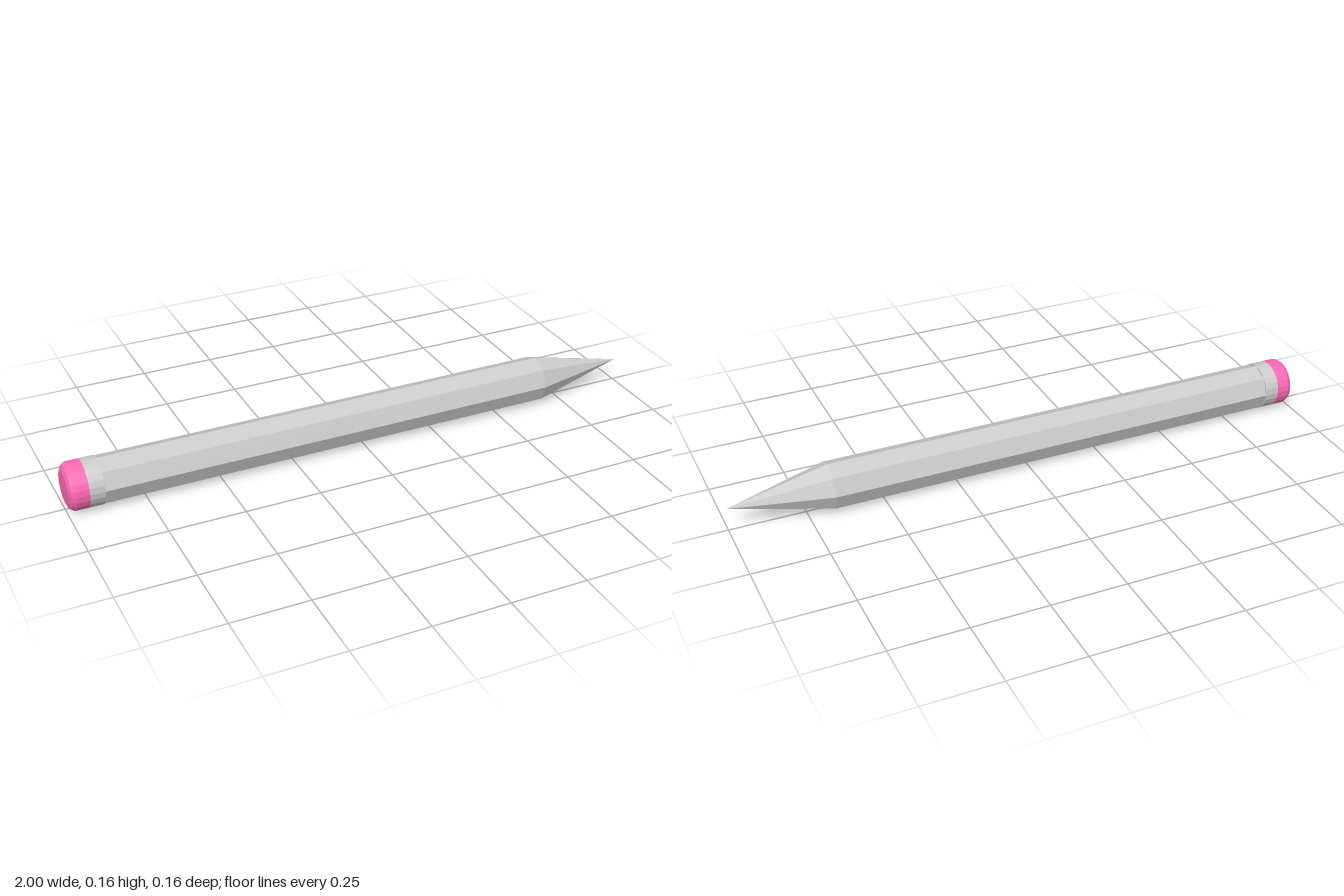
import * as THREE from 'three';

const R = 0.078;      // pencil radius
const SIDES = 8;      // faceted wooden shaft
const ROUND = 24;     // round end pieces

// Turns a profile of [x along the pencil, radius] into a flat-shaded part
function turned(name, profile, sides, color) {
  const points = profile.map(([x, r]) => new THREE.Vector2(r, x));
  const geometry = new THREE.LatheGeometry(points, sides);
  geometry.rotateZ(-Math.PI / 2);
  const material = new THREE.MeshStandardMaterial({ color, flatShading: true });
  const mesh = new THREE.Mesh(geometry, material);
  mesh.name = name;
  mesh.position.y = R;
  return mesh;
}

export function createModel() {
  const pencil = new THREE.Group();
  pencil.name = 'pencil';

  // Octagonal shaft, with an edge along the top
  pencil.add(turned('shaft', [[-0.93, 0], [-0.93, R], [0.67, R]], SIDES, 0xcccccc));

  // Sharpened point
  pencil.add(turned('point', [[0.67, R], [1, 0]], SIDES, 0xcccccc));

  // Round ferrule, closed against the shaft's flats
  pencil.add(turned('ferrule', [[-0.936, R], [-0.888, R], [-0.888, 0.07]], ROUND, 0xcccccc));

  // Eraser with a softened rim
  pencil.add(turned('eraser',
    [[-1, 0], [-0.998, 0.055], [-0.991, 0.07], [-0.978, R], [-0.936, R]], ROUND, 0xff69b4));

  return pencil;
}
